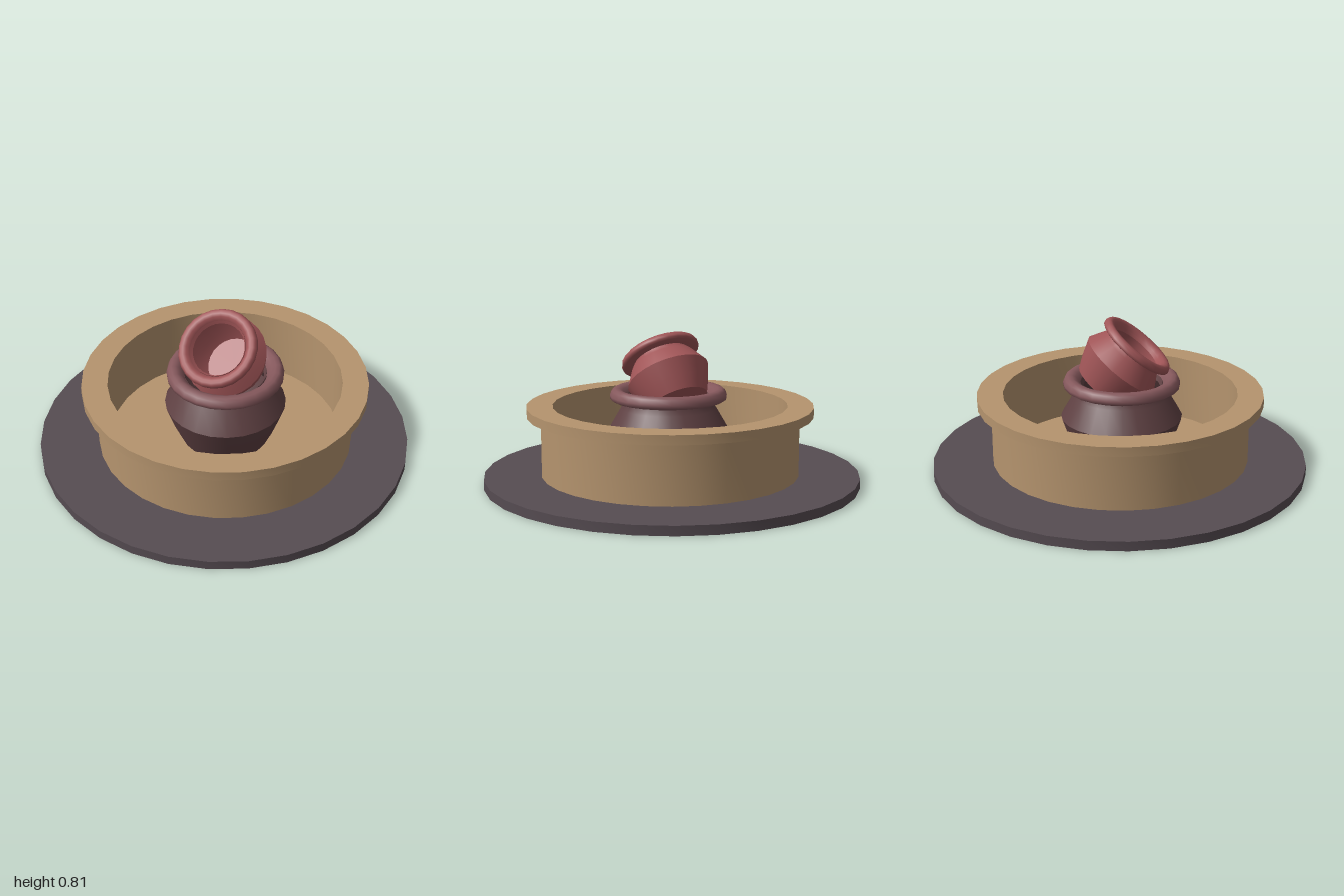
import * as THREE from 'three';
import { toCreasedNormals } from 'three/addons/utils/BufferGeometryUtils.js';

const paint = (color) => new THREE.MeshStandardMaterial({ color });
const slate = paint(0x564c52);
const sand = paint(0xb5946e);
const darkClay = paint(0x5e4042);
const roseClay = paint(0x85585c);
const redClay = paint(0xa05557);

// Turned part from [radius, height] pairs, with sharp edges kept
function turned(name, profile, material, sides, crease = 0.6) {
  const points = profile.map(([r, y]) => new THREE.Vector2(r, y));
  const lathe = new THREE.LatheGeometry(points, sides, Math.PI / sides);
  const mesh = new THREE.Mesh(toCreasedNormals(lathe, crease), material);
  mesh.name = name;
  return mesh;
}

// Hollow jar with a rounded lip, standing on y = 0
function createJar(name, bodyMaterial, lipMaterial) {
  const jar = new THREE.Group();
  jar.name = name;
  const body = [
    [0, 0], [0.235, 0], [0.28, 0.1], [0.325, 0.23], [0.255, 0.35], [0.22, 0.395],
    [0.22, 0.42], [0.205, 0.395], [0.235, 0.345], [0.295, 0.23], [0.25, 0.1], [0.21, 0.03], [0, 0.03],
  ];
  const lip = [
    [0.215, 0.395], [0.295, 0.393], [0.311, 0.403], [0.312, 0.42], [0.302, 0.445],
    [0.287, 0.456], [0.265, 0.456], [0.243, 0.445], [0.222, 0.415], [0.215, 0.395],
  ];
  jar.add(turned('jarBody', body, bodyMaterial, 24, 0.8));
  jar.add(turned('jarLip', lip, lipMaterial, 24, 1.0));
  return jar;
}

export function createModel() {
  const model = new THREE.Group();
  model.name = 'jarBasin';

  // Flat round ground plate
  model.add(turned('basePlate', [[0, 0], [1.004, 0], [1.004, 0.05], [0, 0.05]], slate, 32));

  // Basin with overhanging rim, inner wall and floor
  const basin = turned('basin', [
    [0, 0.045], [0.69, 0.045], [0.69, 0.37], [0.763, 0.37], [0.763, 0.42],
    [0.625, 0.42], [0.625, 0.06], [0, 0.06],
  ], sand, 32);
  basin.position.set(0.008, 0, 0.005);
  model.add(basin);

  // Large upright jar in the middle of the basin
  const largeJar = createJar('largeJar', darkClay, roseClay);
  largeJar.position.set(0.013, 0.05, 0.013);
  model.add(largeJar);

  // Small jar resting in its mouth, tipped to the front
  const smallJar = createJar('smallJar', redClay, redClay);
  const axis = new THREE.Vector3(-0.1, 0.78, 0.62).normalize();
  smallJar.quaternion.setFromUnitVectors(new THREE.Vector3(0, 1, 0), axis);
  smallJar.scale.setScalar(0.69);
  smallJar.position.set(0.03, 0.444, -0.085);
  model.add(smallJar);

  return model;
}
